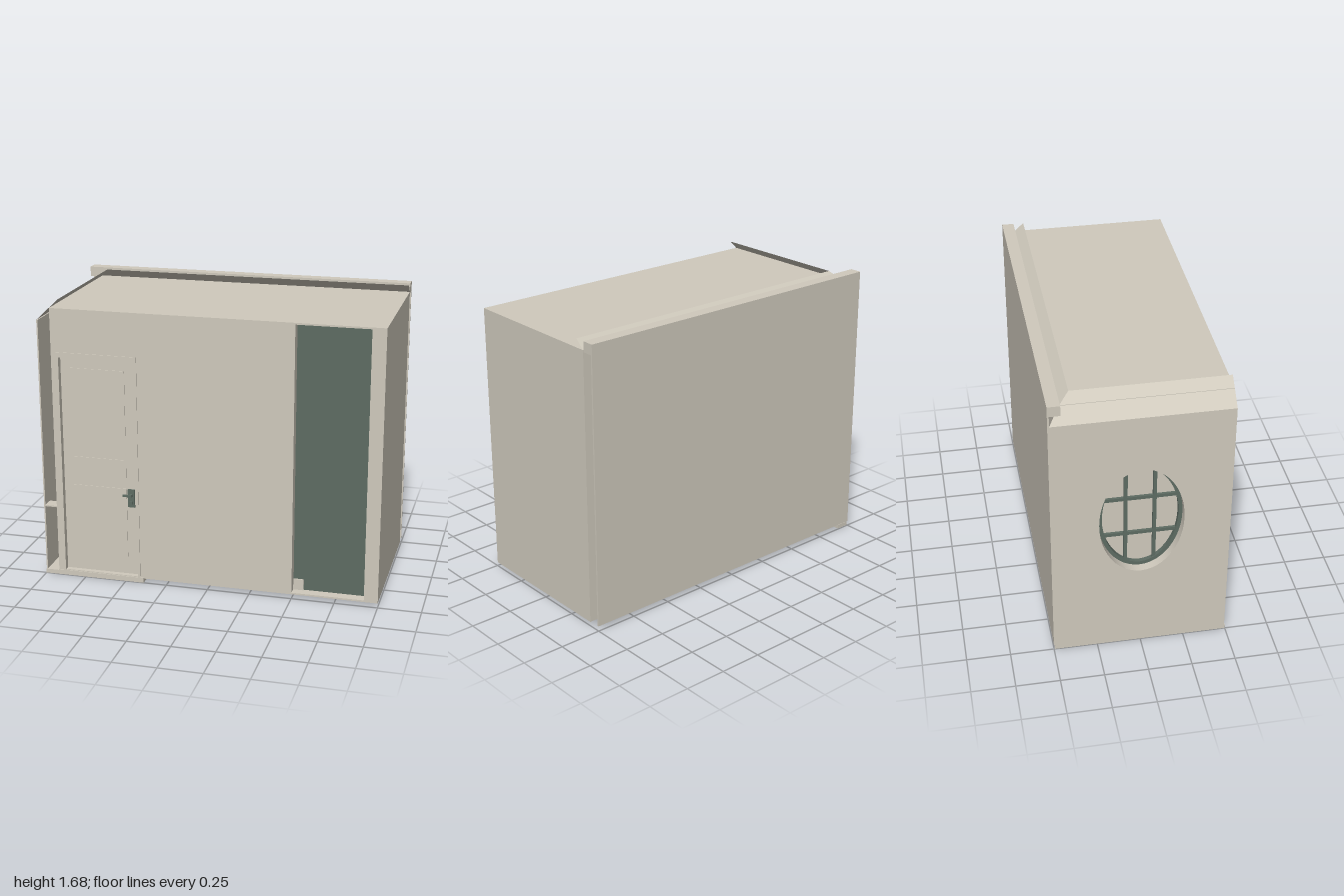
import * as THREE from 'three';

export function createModel() {
  const root = new THREE.Group();
  const cream = new THREE.MeshStandardMaterial({ color: 0xd0cabd, side: THREE.DoubleSide });
  cream.name = 'cream';
  const darkGreen = new THREE.MeshStandardMaterial({ color: 0x5e6c63, side: THREE.DoubleSide });
  darkGreen.name = 'darkGreen';

  const add = (name, geo, mat = cream) => {
    const mesh = new THREE.Mesh(geo, mat);
    mesh.name = name;
    root.add(mesh);
    return mesh;
  };
  // box from its minimum and maximum corners
  const box = (name, x0, x1, y0, y1, z0, z1, mat) => {
    const g = new THREE.BoxGeometry(x1 - x0, y1 - y0, z1 - z0);
    g.translate((x0 + x1) / 2, (y0 + y1) / 2, (z0 + z1) / 2);
    return add(name, g, mat);
  };
  const quad = (name, a, b, c, d) => {
    const g = new THREE.BufferGeometry();
    g.setAttribute('position', new THREE.Float32BufferAttribute([...a, ...b, ...c, ...a, ...c, ...d], 3));
    g.computeVertexNormals();
    return add(name, g);
  };
  const ellipse = (Type, rz, ry) => new Type().absellipse(0, 0.87, rz, ry, 0, Math.PI * 2);
  // extrude a (z, y) outline toward -x, starting at x
  const sideExtrude = (name, shape, x, depth, mat) => {
    const g = new THREE.ExtrudeGeometry(shape, { depth, bevelEnabled: false, curveSegments: 24 });
    g.rotateY(-Math.PI / 2).translate(x, 0, 0);
    return add(name, g, mat);
  };

  // room body and roof
  box('roomBody', -0.92, 1, 0.03, 1.62, -0.425, 0.43);
  box('roof', -0.92, 1, 1.62, 1.63, -0.425, 0.495);
  box('floor', -0.92, 1, 0.025, 0.035, -0.425, 0.495);

  // front wall with openings for the door and the tall panel
  const frontWall = new THREE.Shape();
  [[-0.92, 0.03], [-0.88, 0.03], [-0.88, 1.36], [-0.42, 1.36], [-0.42, 0.03], [0.5, 0.03],
    [0.5, 1.62], [-0.92, 1.62]].forEach(([x, y], i) => (i ? frontWall.lineTo(x, y) : frontWall.moveTo(x, y)));
  const wallGeo = new THREE.ExtrudeGeometry(frontWall, { depth: 0.065, bevelEnabled: false });
  add('frontWall', wallGeo.translate(0, 0, 0.43));
  box('cornerPost', 0.92, 1, 0.03, 1.62, 0.43, 0.495);
  box('tallPanel', 0.5, 0.92, 0.035, 1.62, 0.43, 0.436, darkGreen);
  box('panelCornerBlock', 0.5, 0.56, 0.035, 0.1, 0.43, 0.445);

  // door, raised panels, frame and threshold
  box('door', -0.88, -0.42, 0.03, 1.34, 0.43, 0.465);
  for (const [y0, y1] of [[0.83, 1.28], [0.63, 0.745], [0.144, 0.57]]) {
    box('doorPanel', -0.817, -0.493, y0, y1, 0.46, 0.469);
  }
  for (const x of [-0.89, -0.425]) box('doorFrameSide', x, x + 0.015, 0.03, 1.375, 0.45, 0.5);
  box('doorFrameTop', -0.89, -0.41, 1.345, 1.375, 0.45, 0.5);
  box('threshold', -0.92, -0.39, 0, 0.03, 0.42, 0.5);

  // door handle
  box('handlePlate', -0.485, -0.443, 0.46, 0.57, 0.463, 0.474, darkGreen);
  box('handleLever', -0.51, -0.455, 0.53, 0.541, 0.485, 0.496, darkGreen);
  box('handleStem', -0.47, -0.455, 0.528, 0.543, 0.47, 0.496, darkGreen);
  box('keyKnob', -0.472, -0.456, 0.482, 0.5, 0.47, 0.482, darkGreen);

  // back outer wall and its top rail
  box('backWall', -1, 1, 0.03, 1.68, -0.5, -0.49);
  box('backTopRail', -1, 1, 1.62, 1.68, -0.5, -0.43);

  // side outer wall with an oval opening
  const sideWall = new THREE.Shape();
  sideWall.moveTo(-0.49, 0.02).lineTo(0.495, 0.02).lineTo(0.495, 1.556).lineTo(-0.49, 1.556);
  sideWall.holes.push(ellipse(THREE.Path, 0.235, 0.35));
  sideExtrude('sideWall', sideWall, -0.992, 0.008);
  box('sideFoot', -1, -0.92, 0, 0.025, -0.495, 0.5);
  box('sideShelf', -0.992, -0.92, 0.425, 0.433, 0.42, 0.495);

  // oval window: reveal, ring and glazing bars
  const reveal = new THREE.CylinderGeometry(1, 1, 0.075, 48, 1, true);
  reveal.rotateZ(Math.PI / 2).scale(1, 0.35, 0.235).translate(-0.959, 0.87, 0);
  add('windowReveal', reveal);
  const ring = ellipse(THREE.Shape, 0.234, 0.349);
  ring.holes.push(ellipse(THREE.Path, 0.212, 0.327));
  sideExtrude('windowRing', ring, -0.925, 0.025, darkGreen);
  for (const s of [-1, 1]) {
    const halfY = 0.335 * Math.sqrt(1 - (0.08 / 0.22) ** 2);
    const halfZ = 0.22 * Math.sqrt(1 - (0.12 / 0.335) ** 2);
    box('verticalBar', -0.945, -0.93, 0.87 - halfY, 0.87 + halfY, s * 0.08 - 0.01, s * 0.08 + 0.01, darkGreen);
    box('horizontalBar', -0.945, -0.93, 0.86 + s * 0.12, 0.88 + s * 0.12, -halfZ, halfZ, darkGreen);
  }

  // sloping eaves above the side wall and along the back
  quad('sideEaveLower', [-1, 1.556, -0.49], [-1, 1.556, 0.495], [-0.923, 1.629, 0.495], [-0.923, 1.629, -0.43]);
  quad('sideEaveUpper', [-0.92, 1.63, -0.425], [-0.92, 1.63, 0.495], [-0.87, 1.68, 0.495], [-0.87, 1.68, -0.37]);
  quad('backEave', [1, 1.63, -0.425], [-0.92, 1.63, -0.425], [-0.87, 1.68, -0.37], [1, 1.68, -0.37]);

  return root;
}
